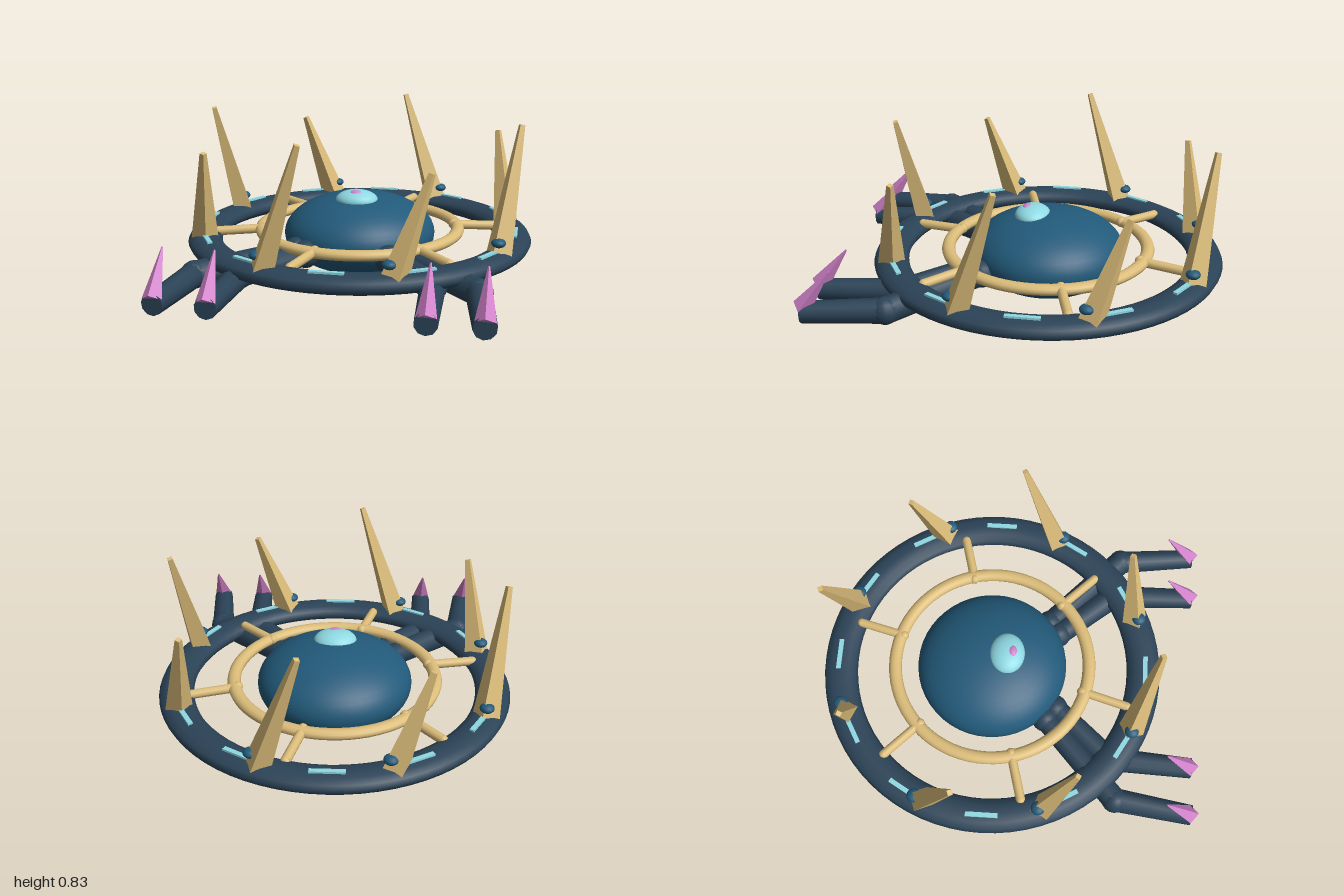
import * as THREE from 'three';

const mat = (color, flatShading = false) => new THREE.MeshStandardMaterial({ color, flatShading });
const NAVY = mat(0x2b4357), BLUE = mat(0x225a7a), GOLD = mat(0xdcbd7a), GOLD_FLAT = mat(0xdcbd7a, true);
const CYAN = mat(0x8fd9e3), PINK = mat(0xd383cc), PINK_FLAT = mat(0xd383cc, true);
const CZ = -0.105; // z of the disc centre

export function createModel() {
  const root = new THREE.Group();

  const add = (parent, name, geo, material, x = 0, y = 0, z = 0) => {
    const m = new THREE.Mesh(geo, material);
    m.name = name;
    m.position.set(x, y, z);
    parent.add(m);
    return m;
  };
  const ellipsoid = (parent, name, material, p, rx, ry, rz, seg = 32) =>
    add(parent, name, new THREE.SphereGeometry(1, seg, seg / 2), material, ...p).scale.set(rx, ry, rz);
  // tapered round bar between two points
  const limb = (parent, name, material, a, b, ra, rb, sides = 10) => {
    const A = new THREE.Vector3(...a), d = new THREE.Vector3(...b).sub(A);
    const m = add(parent, name, new THREE.CylinderGeometry(rb, ra, d.length(), sides), material);
    m.position.copy(A).addScaledVector(d, 0.5);
    m.quaternion.setFromUnitVectors(new THREE.Vector3(0, 1, 0), d.normalize());
    return m;
  };
  // group turned so its local +x points outwards at the given angle
  const spoke = (name, degrees) => {
    const g = new THREE.Group();
    g.name = name;
    g.position.z = CZ;
    g.rotation.y = -THREE.MathUtils.degToRad(degrees);
    root.add(g);
    return g;
  };
  const ring = (name, material, R, r, flatten, y) => {
    const geo = new THREE.TorusGeometry(R, r, 12, 72).rotateX(Math.PI / 2);
    add(root, name, geo, material, 0, y, CZ).scale.y = flatten;
  };

  // body and eye
  ellipsoid(root, 'body', BLUE, [0, 0.211, CZ], 0.395, 0.207, 0.395, 48);
  ellipsoid(root, 'eye', CYAN, [0, 0.4, -0.025], 0.11, 0.053, 0.092);
  ellipsoid(root, 'pupil', PINK, [0, 0.438, 0.003], 0.034, 0.019, 0.024, 16);

  // rings
  ring('outerRing', NAVY, 0.807, 0.088, 0.54, 0.196);
  ring('innerRing', GOLD, 0.515, 0.034, 0.8, 0.234);

  // struts between the rings
  for (let i = 0; i < 6; i++) {
    const g = spoke('strut', -75 + i * 60);
    limb(g, 'strutBar', GOLD, [0.5, 0.235, 0], [0.745, 0.225, 0], 0.024, 0.024);
    ellipsoid(g, 'strutInnerCap', GOLD, [0.5, 0.238, 0], 0.027, 0.027, 0.027, 12);
    ellipsoid(g, 'strutOuterCap', GOLD, [0.745, 0.225, 0], 0.024, 0.024, 0.024, 12);
  }

  // light strips on the outer ring
  for (let i = 0; i < 12; i++)
    add(spoke('lightStrip', i * 30), 'strip', new THREE.BoxGeometry(0.024, 0.016, 0.165), CYAN, 0.812, 0.243, 0);

  // leaning spikes, alternately short and tall, each with a gem at the foot
  for (let i = 0; i < 8; i++) {
    const g = spoke('spike', 22.5 + i * 45), length = i % 2 ? 0.5 : 0.64;
    const tall = i % 2 === 0;
    const geo = new THREE.CylinderGeometry(0.017, 0.068, length, 4).translate(0, length / 2, 0);
    const blade = add(g, tall ? 'tallSpike' : 'shortSpike', geo, GOLD_FLAT, 0.81, 0.22, 0.007);
    blade.rotation.x = -0.335;
    ellipsoid(g, 'spikeGem', BLUE, [0.818, 0.286, 0.034], 0.036, 0.023, 0.036, 16);
  }

  // two pairs of arms with claws
  for (const s of [1, -1]) {
    const arms = [
      { shoulder: [0.27, 0.175, 0.19], elbow: [0.675, 0.148, 0.57], hand: [0.728, 0.135, 0.965] },
      { shoulder: [0.21, 0.175, 0.24], elbow: [0.462, 0.148, 0.53], hand: [0.482, 0.135, 0.965] },
    ];
    for (const { shoulder, elbow, hand } of arms) {
      const g = new THREE.Group();
      g.name = s > 0 ? 'leftArm' : 'rightArm';
      root.add(g);
      const [a, b, c] = [shoulder, elbow, hand].map(([x, y, z]) => [s * x, y, z]);
      ellipsoid(g, 'shoulder', NAVY, a, 0.07, 0.07, 0.07, 16);
      limb(g, 'upperArm', NAVY, a, b, 0.06, 0.066);
      ellipsoid(g, 'elbow', NAVY, b, 0.068, 0.068, 0.068, 16);
      limb(g, 'forearm', NAVY, b, c, 0.062, 0.053);
      limb(g, 'claw', PINK_FLAT, [c[0], 0.16, 0.96], [c[0], 0.356, 0.812], 0.047, 0.004, 4);
    }
  }
  return root;
}
